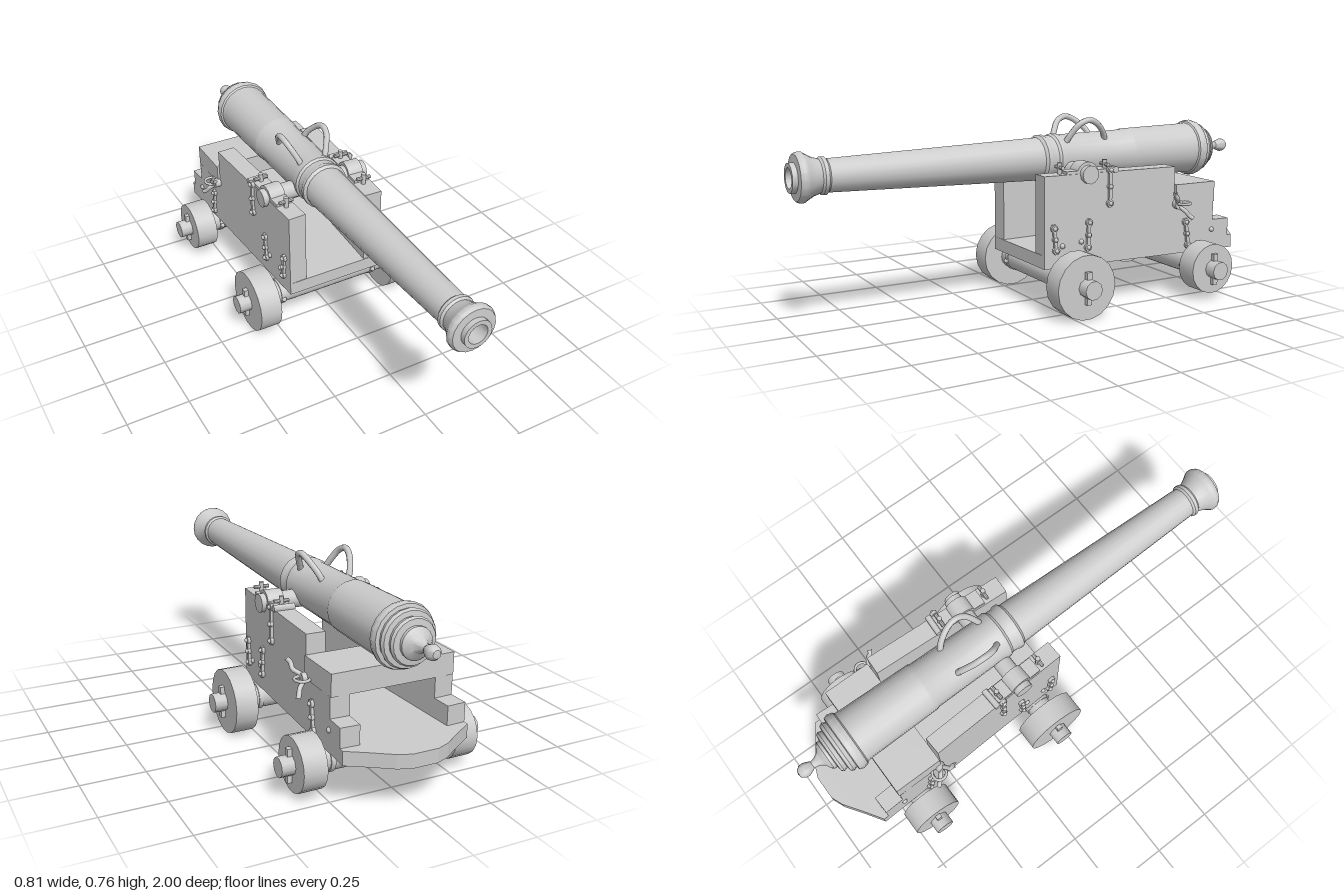
import * as THREE from 'three';
import { toCreasedNormals } from 'three/addons/utils/BufferGeometryUtils.js';

const material = new THREE.MeshStandardMaterial({ color: 0xcccccc });
const AXIS = 0.59; // height of the barrel axis

function add(parent, name, geo, x = 0, y = 0, z = 0) {
  const mesh = new THREE.Mesh(geo, material);
  mesh.name = name;
  mesh.position.set(x, y, z);
  parent.add(mesh);
  return mesh;
}
const box = (w, h, d) => new THREE.BoxGeometry(w, h, d);
// cylinder lying along x
const rod = (r, len, sides = 16) =>
  toCreasedNormals(new THREE.CylinderGeometry(r, r, len, sides).rotateZ(Math.PI / 2), 0.7);
const tube = (pts, r, n = 16) =>
  new THREE.TubeGeometry(new THREE.CatmullRomCurve3(pts.map(p => new THREE.Vector3(...p))), n, r, 8);
const shape = pts => new THREE.Shape(pts.map(p => new THREE.Vector2(...p)));

function buildBarrel() {
  const barrel = new THREE.Group();
  barrel.name = 'barrel';
  barrel.position.y = AXIS;
  // [radius, z] from the knob at the breech to the bottom of the bore
  const profile = [
    [0, -1], [0.015, -0.996], [0.026, -0.982], [0.028, -0.968], [0.022, -0.95], [0.015, -0.938],
    [0.018, -0.92], [0.03, -0.9], [0.05, -0.89], [0.06, -0.88], [0.06, -0.868],
    [0.082, -0.865], [0.088, -0.855], [0.084, -0.84], [0.102, -0.837], [0.108, -0.825],
    [0.103, -0.81], [0.117, -0.807], [0.122, -0.79], [0.117, -0.77], [0.11, -0.765],
    [0.108, -0.74], [0.103, -0.45], [0.103, -0.44], [0.099, -0.43], [0.095, -0.12],
    [0.1, -0.1], [0.1, -0.085], [0.093, -0.075], [0.093, -0.05], [0.098, -0.04], [0.098, -0.025],
    [0.088, -0.015], [0.063, 0.86], [0.071, 0.868], [0.071, 0.882], [0.064, 0.89],
    [0.072, 0.915], [0.086, 0.94], [0.094, 0.952], [0.094, 0.966], [0.087, 0.978],
    [0.056, 0.98], [0.056, 1], [0.039, 1], [0.037, 0.65], [0, 0.65],
  ].map(p => new THREE.Vector2(...p));
  const tubeGeo = new THREE.LatheGeometry(profile, 20).rotateX(Math.PI / 2);
  add(barrel, 'gunTube', toCreasedNormals(tubeGeo, 0.6));

  // trunnions resting in the cheeks
  add(barrel, 'trunnions', rod(0.037, 0.475, 12), 0, -0.042, -0.13);

  // pair of lifting handles
  for (const s of [-1, 1]) {
    add(barrel, 'liftingHandle', tube([
      [0.055 * s, 0.07, -0.31], [0.068 * s, 0.1, -0.295], [0.088 * s, 0.142, -0.25],
      [0.094 * s, 0.157, -0.21], [0.088 * s, 0.142, -0.17], [0.068 * s, 0.1, -0.14], [0.055 * s, 0.07, -0.125],
    ], 0.0125, 24));
  }
  return barrel;
}

function buildWheels(carriage) {
  for (const [name, z, r] of [['front', -0.043, 0.13], ['rear', -0.66, 0.104]]) {
    add(carriage, name + 'Axle', rod(0.05, 0.53, 20), 0, 0.13, z);
    add(carriage, name + 'AxleTree', rod(0.038, 0.81, 10), 0, 0.13, z);
    for (const s of [-1, 1]) {
      add(carriage, name + 'Wheel', rod(r, 0.092, 18), 0.308 * s, 0.13, z);
      add(carriage, name + 'Linchpin', box(0.017, 0.13, 0.022), 0.364 * s, 0.13, z);
      add(carriage, name + 'AxleBand', rod(0.0545, 0.018, 20), 0.214 * s, 0.13, z);
      add(carriage, name + 'BandBolt', new THREE.SphereGeometry(0.01, 8, 6), 0.214 * s, 0.122, z + 0.054);
    }
  }
}

// flat iron strap with round ends and bolts on the outer face
function addStrap(side, s, z, y0, y1, lean = 0) {
  const strap = new THREE.Group();
  strap.name = 'ironStrap';
  strap.position.set(0.005 * s, (y0 + y1) / 2, z);
  strap.rotation.x = lean;
  const half = (y1 - y0) / 2;
  add(strap, 'strapBar', box(0.012, half * 2, 0.014));
  for (const t of [-1, 0, 1]) {
    add(strap, 'strapEye', rod(t ? 0.015 : 0.012, 0.014, 12), 0, t * (half - 0.015), 0);
    add(strap, 'strapBolt', new THREE.SphereGeometry(0.009, 8, 6), 0.008 * s, t * (half - 0.015), 0);
  }
  side.add(strap);
}

// one cheek with its ironwork; local origin is the front of the outer face
function buildSide(s) {
  const side = new THREE.Group();
  side.name = s > 0 ? 'leftCheek' : 'rightCheek';
  side.position.set(0.21 * s, 0, 0.065);
  side.rotation.y = -0.045 * s;

  const cheek = new THREE.ExtrudeGeometry(shape([
    [-0.885, 0.235], [0, 0.235], [0, 0.552], [-0.605, 0.552],
    [-0.605, 0.392], [-0.805, 0.392], [-0.805, 0.312], [-0.885, 0.312],
  ]), { depth: 0.075, bevelEnabled: false }).translate(0, 0, -0.0375).rotateY(-Math.PI / 2);
  add(side, 'cheekBoard', cheek, -0.0375 * s);

  // cap strap arched over the trunnion
  const cap = new THREE.Shape();
  cap.moveTo(-0.115, 0);
  cap.lineTo(-0.115, 0.014);
  cap.lineTo(-0.045, 0.014);
  cap.absarc(0, 0, 0.047, Math.PI - 0.3, 0.3, true);
  cap.lineTo(0.095, 0.014);
  cap.lineTo(0.095, 0);
  const capGeo = new THREE.ExtrudeGeometry(cap, { depth: 0.066, bevelEnabled: false, curveSegments: 10 })
    .translate(0, 0, -0.033).rotateY(-Math.PI / 2);
  add(side, 'capStrap', toCreasedNormals(capGeo, 0.6), -0.037 * s, 0.55, -0.195);

  // keys and hinge holding the cap strap
  for (const z of [-0.085, -0.29]) {
    add(side, 'capBolt', new THREE.CylinderGeometry(0.01, 0.01, 0.045, 8), -0.037 * s, 0.575, z);
    add(side, 'capKey', rod(0.008, 0.06, 8), -0.037 * s, 0.578, z);
  }
  add(side, 'capHinge', rod(0.013, 0.085, 10), -0.035 * s, 0.56, -0.318);

  // straps and bolts
  addStrap(side, s, -0.045, 0.24, 0.36, 0.1);
  addStrap(side, s, -0.195, 0.24, 0.37, -0.05);
  addStrap(side, s, -0.292, 0.41, 0.575);
  addStrap(side, s, -0.67, 0.2, 0.33, 0.15);
  for (const [z, y] of [[-0.08, 0.27], [-0.165, 0.28], [-0.8, 0.27]])
    add(side, 'cheekBolt', new THREE.SphereGeometry(0.011, 8, 6), 0, y, z);

  // rope cleat with two horns, set at a slant
  add(side, 'cleat', tube([
    [0.06 * s, 0.46, -0.57], [0.048 * s, 0.445, -0.578], [0.046 * s, 0.425, -0.592],
    [0.02 * s, 0.405, -0.61], [0.02 * s, 0.385, -0.622],
    [0.04 * s, 0.365, -0.64], [0.046 * s, 0.35, -0.65], [0.056 * s, 0.338, -0.664],
  ], 0.009, 24));
  add(side, 'cleatBase', rod(0.02, 0.04, 10), 0.005 * s, 0.395, -0.616);

  // rope ring
  const ring = new THREE.TorusGeometry(0.028, 0.006, 8, 16).rotateX(Math.PI / 2);
  add(side, 'ropeRing', ring, 0.028 * s, 0.4, -0.635);
  return side;
}

export function createModel() {
  const model = new THREE.Group();
  model.name = 'cannon';
  const carriage = new THREE.Group();
  carriage.name = 'carriage';
  model.add(buildBarrel(), carriage);

  // floor with a blunt pointed tail
  const floor = new THREE.ExtrudeGeometry(shape([
    [-0.21, 0.065], [0.21, 0.065], [0.25, -0.84], [0.18, -0.885], [0.1, -0.94], [0.05, -0.96],
    [-0.05, -0.96], [-0.1, -0.94], [-0.18, -0.885], [-0.25, -0.84],
  ]), { depth: 0.054, bevelEnabled: false }).rotateX(Math.PI / 2);
  add(carriage, 'floor', floor, 0, 0.237, 0);

  // rear cross beam on the cheek steps
  add(carriage, 'crossBeam', box(0.49, 0.085, 0.2), 0, 0.434, -0.644);

  for (const s of [-1, 1]) carriage.add(buildSide(s));
  buildWheels(carriage);
  return model;
}
